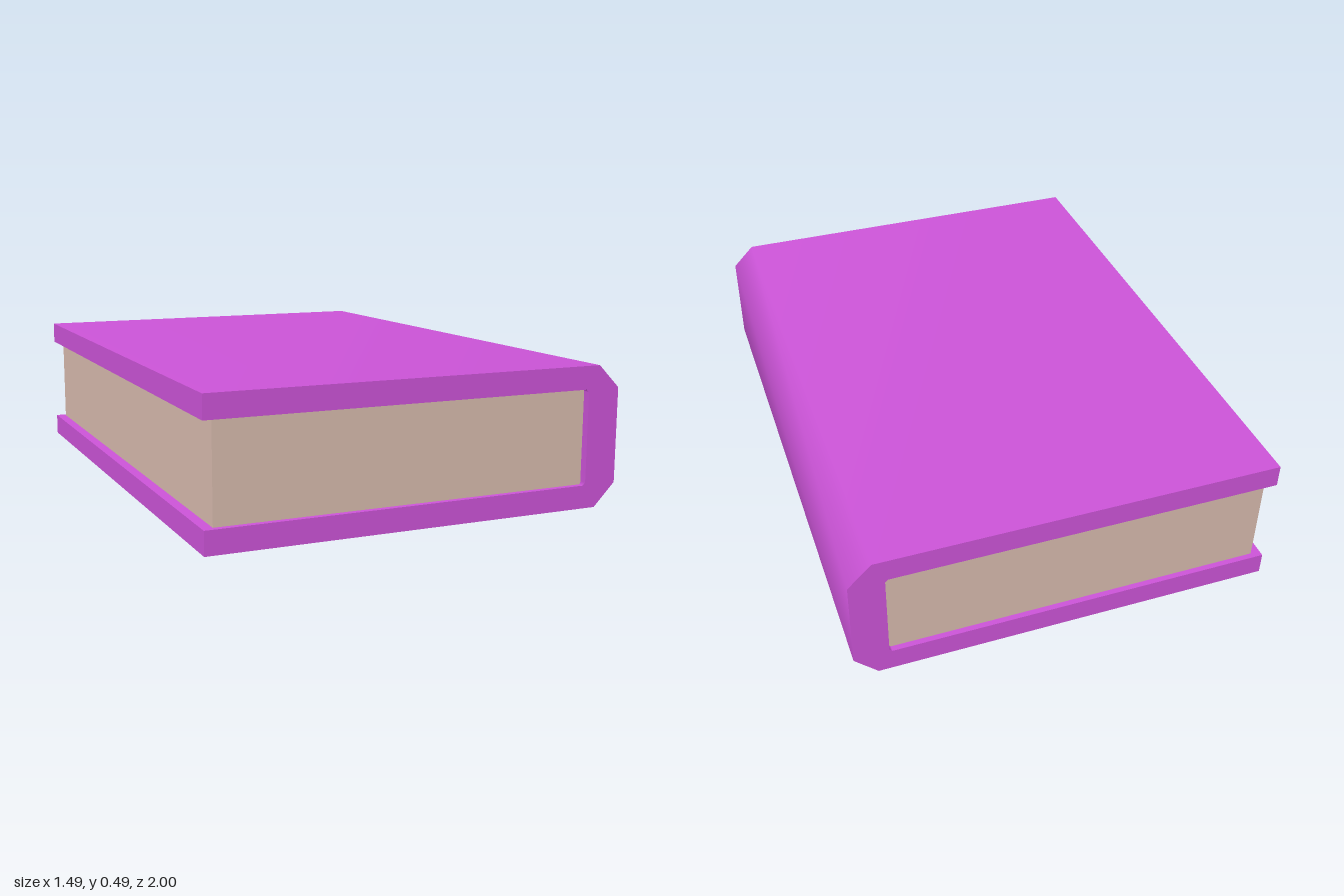
import * as THREE from 'three';

const HALF = 1; // half length of the cover along z

// Cover cross-section (x, y), walked anticlockwise
const OUTER = [[-0.745, 0], [0.66, 0], [0.74, 0.08], [0.74, 0.41], [0.66, 0.49], [-0.745, 0.49]];
const INNER = [[-0.745, 0.41], [0.61, 0.41], [0.62, 0.4], [0.62, 0.09], [0.61, 0.08], [-0.745, 0.08]];

// Sweeps an open profile along z, with normals smoothed along the profile
function wall(points) {
  const position = [], index = [];
  points.forEach(([x, y], i) => {
    position.push(x, y, HALF, x, y, -HALF);
    if (i === points.length - 1) return;
    const a = i * 2;
    index.push(a, a + 1, a + 2, a + 1, a + 3, a + 2);
  });
  const geometry = new THREE.BufferGeometry();
  geometry.setAttribute('position', new THREE.Float32BufferAttribute(position, 3));
  geometry.setIndex(index);
  geometry.computeVertexNormals();
  return geometry;
}

export function createModel() {
  const coverMaterial = new THREE.MeshStandardMaterial({ color: 0xcc54d8 });
  coverMaterial.name = 'purple cover';
  const pageMaterial = new THREE.MeshStandardMaterial({ color: 0xd8bbae });
  pageMaterial.name = 'beige paper';

  const model = new THREE.Group();
  model.name = 'book';
  const cover = new THREE.Group();
  cover.name = 'cover';
  model.add(cover);
  const add = (parent, name, geometry, material) => {
    const mesh = new THREE.Mesh(geometry, material);
    mesh.name = name;
    parent.add(mesh);
    return mesh;
  };

  // Boards and bevelled spine, outside and inside
  add(cover, 'coverOutside', wall(OUTER), coverMaterial);
  add(cover, 'coverInside', wall(INNER), coverMaterial);

  // Fore edges of the two boards
  add(cover, 'topBoardEdge', wall([OUTER[5], INNER[0]]), coverMaterial);
  add(cover, 'bottomBoardEdge', wall([INNER[5], OUTER[0]]), coverMaterial);

  // C-shaped ends of the cover
  const outline = new THREE.Shape([...OUTER, ...INNER].map(([x, y]) => new THREE.Vector2(x, y)));
  add(cover, 'frontEnd', new THREE.ShapeGeometry(outline), coverMaterial).position.z = HALF;
  const mirrored = new THREE.Shape([...OUTER, ...INNER].map(([x, y]) => new THREE.Vector2(-x, y)));
  const backEnd = add(cover, 'backEnd', new THREE.ShapeGeometry(mirrored), coverMaterial);
  backEnd.rotation.y = Math.PI;
  backEnd.position.z = -HALF;

  // Page block, slightly inset from the cover
  const pages = add(model, 'pages', new THREE.BoxGeometry(1.325, 0.33, 1.96), pageMaterial);
  pages.position.set(-0.0475, 0.245, 0);

  return model;
}
